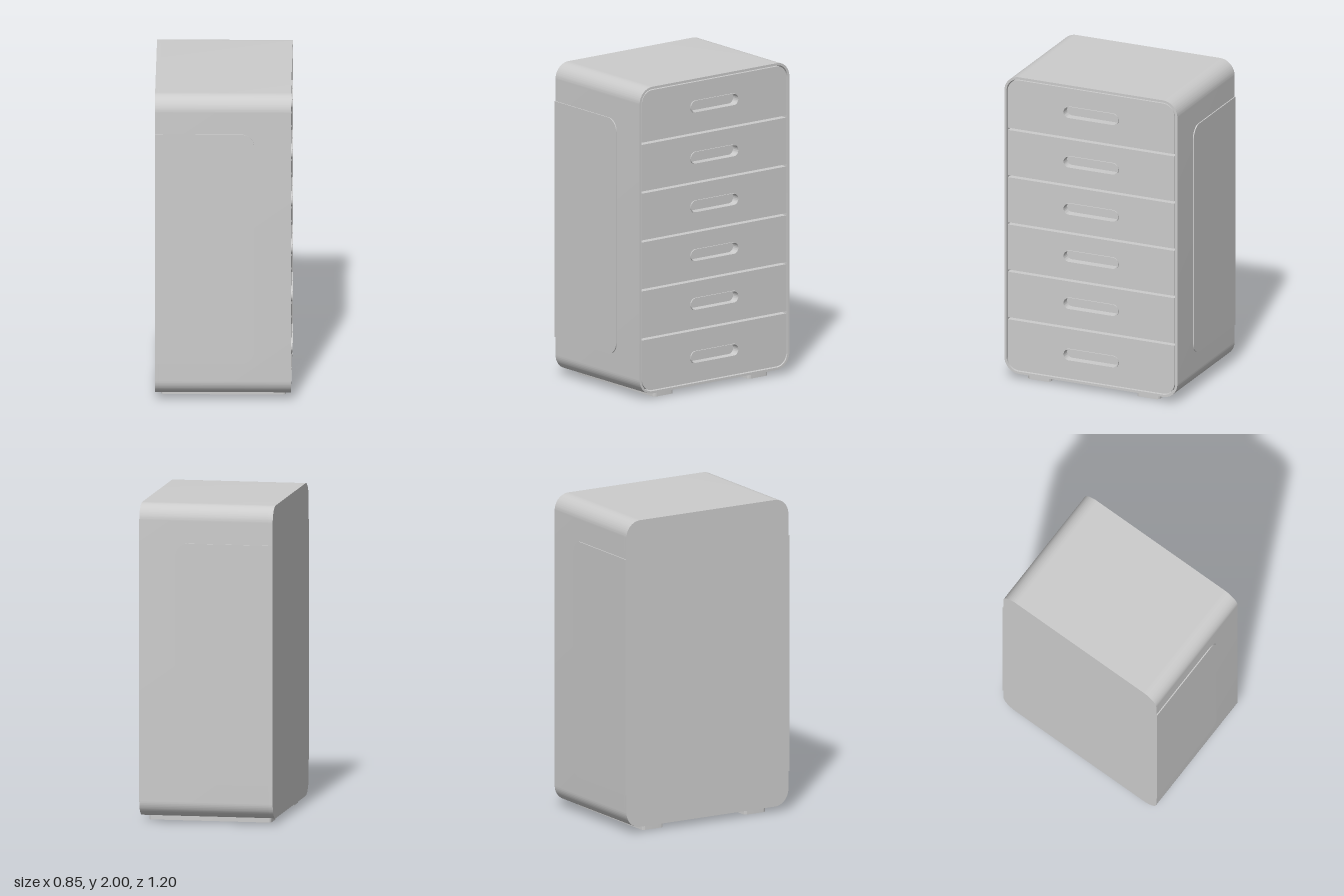
import * as THREE from 'three';
import { toCreasedNormals } from 'three/addons/utils/BufferGeometryUtils.js';

const material = new THREE.MeshStandardMaterial({ color: 0xcccccc });

// Rounded rectangle; radii in order bottom-left, bottom-right, top-right, top-left
function roundedRect(x0, y0, x1, y1, [bl, br, tr, tl], target = new THREE.Shape()) {
  const corner = (cx, cy, r, start) => {
    if (r > 0) target.absarc(cx, cy, r, start, start + Math.PI / 2, false);
    else target.lineTo(cx, cy);
  };
  target.moveTo(x0 + bl, y0);
  corner(x1 - br, y0 + br, br, -Math.PI / 2);
  corner(x1 - tr, y1 - tr, tr, 0);
  corner(x0 + tl, y1 - tl, tl, Math.PI / 2);
  corner(x0 + bl, y0 + bl, bl, Math.PI);
  target.closePath();
  return target;
}

const even = (r) => [r, r, r, r];

function extrude(shape, depth) {
  const geometry = new THREE.ExtrudeGeometry(shape, { depth, bevelEnabled: false, curveSegments: 14 });
  return toCreasedNormals(geometry, 0.5);
}

function addMesh(parent, name, geometry) {
  const mesh = new THREE.Mesh(geometry, material);
  mesh.name = name;
  parent.add(mesh);
  return mesh;
}

// Extrude a (z, y) profile along x from x0 to x1
function addAlongX(parent, name, shape, x0, x1) {
  const geometry = extrude(shape, x1 - x0);
  geometry.rotateY(Math.PI / 2);
  geometry.translate(x0, 0, 0);
  return addMesh(parent, name, geometry);
}

const slotShape = (y, inset, target) =>
  roundedRect(-0.19 + inset, y - 0.04 + inset, 0.19 - inset, y + 0.04 - inset, even(0.0399 - inset), target);

export function createModel() {
  const cabinet = new THREE.Group();
  cabinet.name = 'drawerCabinet';

  // Outer shell, open towards the drawers, with a closed back
  const bottom = 0.035, top = 2, halfWidth = 0.593;
  const outline = () => roundedRect(-halfWidth, bottom, halfWidth, top, even(0.1));
  const shell = outline();
  shell.holes.push(roundedRect(-0.578, 0.05, 0.578, 1.985, even(0.085), new THREE.Path()));
  addAlongX(cabinet, 'shell', shell, -0.4, 0.418);
  addAlongX(cabinet, 'backPanel', outline(), -0.427, -0.4);

  // Inner carcass behind the drawer fronts
  const core = addMesh(cabinet, 'carcass', new THREE.BoxGeometry(0.77, 1.85, 1.07));
  core.position.set(-0.015, 1.0175, 0);

  // Drawer fronts: [lower edge, upper edge, handle height]
  const drawers = [
    [0.057, 0.385, 0.215],
    [0.4, 0.7, 0.555],
    [0.715, 1.013, 0.867],
    [1.028, 1.326, 1.18],
    [1.341, 1.639, 1.492],
    [1.654, 1.978, 1.82],
  ];
  drawers.forEach(([y0, y1, handleY], i) => {
    const drawer = new THREE.Group();
    drawer.name = `drawer${i + 1}`;
    cabinet.add(drawer);
    const lower = i === 0 ? 0.077 : 0;
    const upper = i === drawers.length - 1 ? 0.077 : 0;
    const front = roundedRect(-0.571, y0, 0.571, y1, [lower, lower, upper, upper]);
    front.holes.push(slotShape(handleY, 0.001, new THREE.Path()));
    addAlongX(drawer, 'drawerFront', front, 0.37, 0.415);

    // Thin raised lip lining the handle slot
    const lip = slotShape(handleY, 0);
    lip.holes.push(slotShape(handleY, 0.005, new THREE.Path()));
    addAlongX(drawer, 'handleLip', lip, 0.37, 0.423);
  });

  for (const side of [-1, 1]) {
    // Raised side panel, rounded towards the drawers
    const panel = extrude(roundedRect(-0.427, 0.25, 0.19, 1.76, [0, 0.08, 0.08, 0]), 0.02);
    panel.translate(0, 0, side > 0 ? 0.58 : -0.6);
    addMesh(cabinet, side > 0 ? 'frontSidePanel' : 'rearSidePanel', panel);

    // Long foot rail
    const foot = extrude(roundedRect(-0.39, -0.078, 0.385, 0.078, even(0.02)), 0.04);
    foot.rotateX(-Math.PI / 2);
    foot.translate(0, 0, side * 0.374);
    addMesh(cabinet, 'footRail', foot);
  }

  return cabinet;
}
